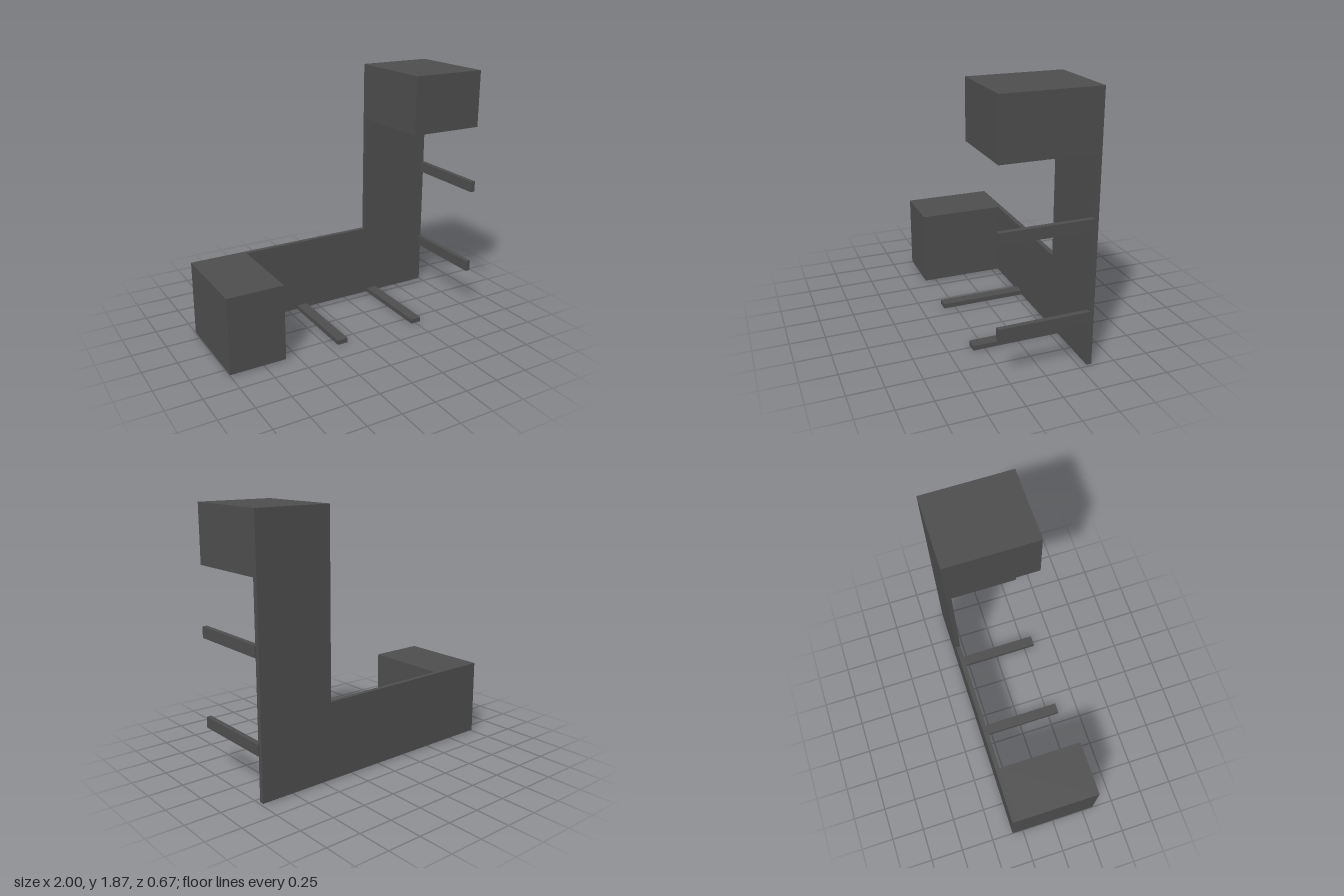
import * as THREE from 'three';

export function createModel() {
  const group = new THREE.Group();
  const charcoal = new THREE.MeshStandardMaterial({ color: 0x4d4d4d });
  charcoal.name = 'charcoal';

  const BACK = -0.335, PANEL_FRONT = -0.3, FRONT = 0.335;
  const LEFT = 0.99, RIGHT = -1, BOTTOM = 0.007, TOP = 1.87;
  const ARM_X = 0.435, ARM_Y = 0.565;

  // Box given by its limits on each axis
  function box(name, [x0, x1], [y0, y1], [z0, z1]) {
    const mesh = new THREE.Mesh(new THREE.BoxGeometry(x1 - x0, y1 - y0, z1 - z0), charcoal);
    mesh.position.set((x0 + x1) / 2, (y0 + y1) / 2, (z0 + z1) / 2);
    mesh.name = name;
    group.add(mesh);
  }

  // L-shaped back panel
  const outline = new THREE.Shape([
    [RIGHT, BOTTOM], [LEFT, BOTTOM], [LEFT, TOP],
    [ARM_X, TOP], [ARM_X, ARM_Y], [RIGHT, ARM_Y],
  ].map(([x, y]) => new THREE.Vector2(x, y)));
  const panel = new THREE.Mesh(
    new THREE.ExtrudeGeometry(outline, { depth: PANEL_FRONT - BACK, bevelEnabled: false }), charcoal);
  panel.position.z = BACK;
  panel.name = 'backPanel';
  group.add(panel);

  // Blocks at the two ends of the L
  box('sideBlock', [RIGHT, -0.588], [BOTTOM, ARM_Y], [PANEL_FRONT, FRONT]);
  box('topBlock', [ARM_X, LEFT], [1.46, TOP], [PANEL_FRONT, FRONT]);

  // Slim bars reaching forward along the lower and outer edges
  const barDepth = [-0.312, FRONT];
  for (const x of [-0.135, 0.506]) box('bottomBar', [x - 0.04, x + 0.04], [0, 0.035], barDepth);
  for (const y of [0.365, 1.006]) box('sideBar', [0.965, 1], [y - 0.04, y + 0.04], barDepth);

  return group;
}
